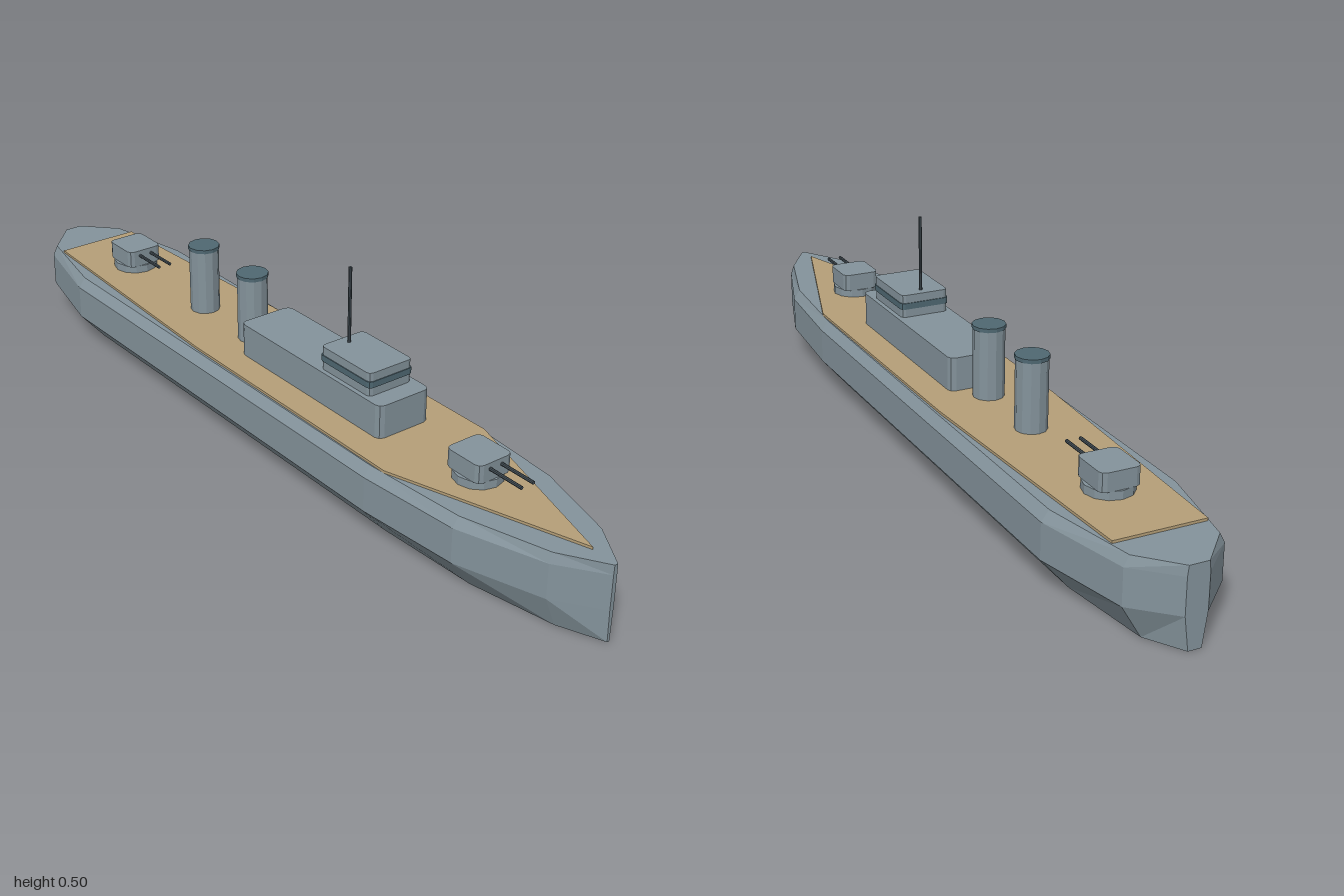
import * as THREE from 'three';

const paint = (name, color) => {
  const m = new THREE.MeshStandardMaterial({ color });
  m.name = name;
  return m;
};

// Facet a geometry so every polygon side reads flat
function facet(geometry) {
  const g = geometry.index ? geometry.toNonIndexed() : geometry;
  g.computeVertexNormals();
  return g;
}

function hullGeometry() {
  // [z, half width] from bow to stern
  const stations = [[1, 0.005], [0.9, 0.075], [0.7, 0.14], [0.45, 0.16],
    [-0.7, 0.16], [-0.92, 0.11], [-1, 0.025]];
  // [width factor, y] from deck edge down to keel, then mirrored up
  const half = [[0.89, 0.18], [1, 0.157], [1, 0.075], [0.6, 0]];
  const ring = [...half, ...half.slice().reverse().map(([w, y]) => [-w, y])];
  const n = ring.length, pos = [], idx = [];
  for (const [z, w] of stations) for (const [f, y] of ring) pos.push(f * w, y, z);
  for (let i = 0; i < stations.length - 1; i++) {
    for (let j = 0; j < n; j++) {
      const a = i * n + j, c = i * n + (j + 1) % n, b = a + n, d = c + n;
      if (j < 4) idx.push(a, c, b, c, d, b);
      else idx.push(a, c, d, a, d, b);
    }
  }
  // Stem and stern caps
  const last = (stations.length - 1) * n;
  for (let j = 1; j < n - 1; j++) {
    idx.push(0, j + 1, j);
    idx.push(last, last + j, last + j + 1);
  }
  const g = new THREE.BufferGeometry();
  g.setAttribute('position', new THREE.Float32BufferAttribute(pos, 3));
  g.setIndex(idx);
  return facet(g);
}

// Extrude a plan outline of [x, z] points upwards from y0 to y1
function planPrism(points, y0, y1) {
  const shape = new THREE.Shape(points.map(([x, z]) => new THREE.Vector2(x, -z)));
  const g = new THREE.ExtrudeGeometry(shape, { depth: y1 - y0, bevelEnabled: false });
  return g.rotateX(-Math.PI / 2).translate(0, y0, 0);
}

// Block with rounded vertical corners
function block(halfX, zBack, zFront, y0, y1, r) {
  const pts = [];
  const corners = [[1, zFront, 1], [-1, zFront, 1], [-1, zBack, -1], [1, zBack, -1]];
  corners.forEach(([sx, z, sz], k) => {
    for (let s = 0; s <= 2; s++) {
      const a = (k + s / 2) * Math.PI / 2;
      pts.push([sx * (halfX - r) + r * Math.cos(a), z - sz * r + r * Math.sin(a)]);
    }
  });
  return planPrism(pts, y0, y1);
}

function cylinder(r, y0, y1, sides) {
  return facet(new THREE.CylinderGeometry(r, r, y1 - y0, sides).translate(0, (y0 + y1) / 2, 0));
}

export function createModel() {
  const grey = paint('hull grey', 0x84939b);
  const wood = paint('deck wood', 0xb59f78);
  const teal = paint('dark teal', 0x4f6872);
  const dark = paint('gun metal', 0x424d54);
  const ship = new THREE.Group();
  ship.name = 'warship';

  function add(name, geometry, material, parent = ship, z = 0) {
    const mesh = new THREE.Mesh(geometry, material);
    mesh.name = name;
    mesh.position.z = z;
    parent.add(mesh);
    return mesh;
  }

  add('hull', hullGeometry(), grey);

  // Planked deck
  const side = [[0.14, 0.49], [0.137, -0.2], [0.105, -0.87]];
  const mirrored = side.slice().reverse().map(([x, z]) => [-x, z]);
  add('woodDeck', planPrism([[0, 0.94], ...side, ...mirrored], 0.179, 0.186), wood);

  // Superstructure, bridge and mast
  add('superstructure', block(0.07, -0.11, 0.39, 0.186, 0.265, 0.015), grey);
  add('bridge', block(0.059, 0.176, 0.342, 0.265, 0.32, 0.01), grey);
  add('bridgeWindows', block(0.061, 0.174, 0.344, 0.285, 0.3, 0.01), teal);
  add('mast', cylinder(0.004, 0.32, 0.5, 8), dark, ship, 0.2);

  // Funnels
  for (const z of [-0.16, -0.36]) {
    const funnel = new THREE.Group();
    funnel.name = 'funnel';
    funnel.position.z = z;
    ship.add(funnel);
    add('funnelPipe', cylinder(0.036, 0.186, 0.346, 12), grey, funnel);
    add('funnelCap', cylinder(0.038, 0.346, 0.355, 12), teal, funnel);
  }

  // Twin gun turrets, both trained forward
  for (const [name, z] of [['foreTurret', 0.62], ['aftTurret', -0.68]]) {
    const turret = new THREE.Group();
    turret.name = name;
    turret.position.z = z;
    ship.add(turret);
    add('turretBase', cylinder(0.055, 0.186, 0.205, 12), grey, turret);
    add('turretHouse', block(0.046, -0.05, 0.05, 0.205, 0.247, 0.013), grey, turret);
    for (const x of [-0.016, 0.016]) {
      const barrel = new THREE.CylinderGeometry(0.004, 0.004, 0.1, 8).rotateX(Math.PI / 2);
      add('gunBarrel', facet(barrel.translate(x, 0.233, 0.09)), dark, turret);
    }
  }
  return ship;
}
